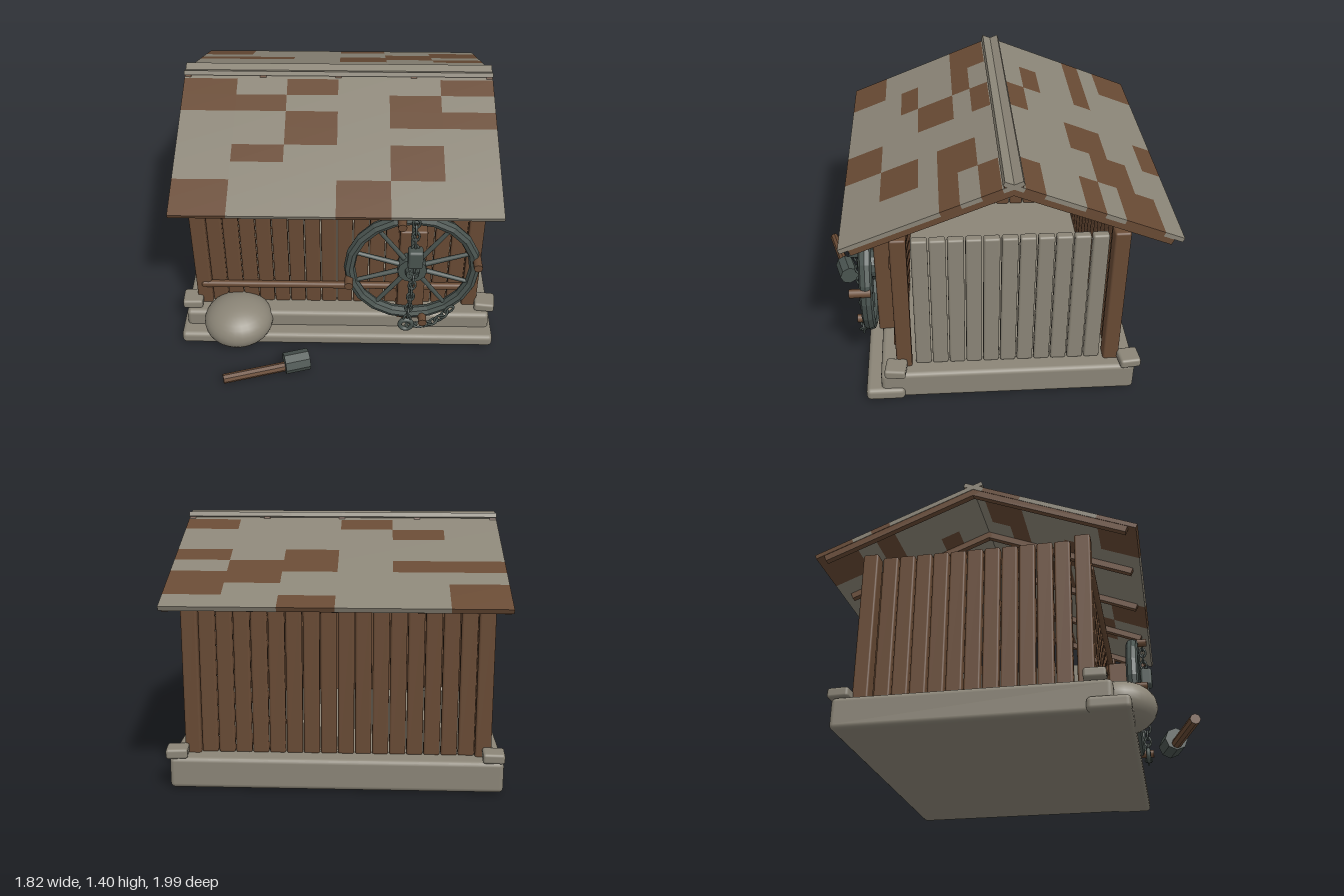
import * as THREE from 'three';
import { RoundedBoxGeometry } from 'three/addons/geometries/RoundedBoxGeometry.js';

const mat = (name, color) => {
  const m = new THREE.MeshStandardMaterial({ color });
  m.name = name;
  return m;
};

export function createModel() {
  const model = new THREE.Group();
  model.name = 'shed';
  const stone = mat('stone grey', 0x8b8577);
  const wood = mat('brown wood', 0x684a34);
  const iron = mat('dark iron', 0x49534f);

  const add = (parent, name, geo, material, x = 0, y = 0, z = 0) => {
    const m = new THREE.Mesh(geo, material);
    m.name = name;
    m.position.set(x, y, z);
    parent.add(m);
    return m;
  };
  const group = (name, parent = model) => {
    const g = new THREE.Group();
    g.name = name;
    parent.add(g);
    return g;
  };
  // Rounded block given by its minimum and maximum on each axis
  const block = (parent, name, material, x0, x1, y0, y1, z0, z1, r = 0.012) =>
    add(parent, name, new RoundedBoxGeometry(x1 - x0, y1 - y0, z1 - z0, 2, r), material,
      (x0 + x1) / 2, (y0 + y1) / 2, (z0 + z1) / 2);
  // Faceted copy of a geometry
  const flat = (geo) => {
    const g = geo.toNonIndexed();
    g.computeVertexNormals();
    return g;
  };

  // Foundation, front step and corner stones
  const base = group('base');
  block(base, 'foundation', stone, -0.89, 0.87, 0.01, 0.18, -0.825, 0.585, 0.025);
  block(base, 'frontStep', stone, -0.915, 0.89, 0.01, 0.085, 0.455, 0.67, 0.025);
  for (const [x, z, turn] of [[-0.855, 0.5, 0.03], [0.845, 0.5, -0.12], [-0.835, -0.79, -0.05], [0.83, -0.79, 0.1]]) {
    const s = add(base, 'cornerStone', new RoundedBoxGeometry(0.115, 0.055, 0.115, 2, 0.015), stone, x, 0.207, z);
    s.rotation.y = turn;
  }

  // Corner posts and plank walls
  const walls = group('walls');
  for (const x of [-0.787, 0.757]) {
    for (const z of [0.455, -0.697]) {
      block(walls, 'cornerPost', wood, x - 0.043, x + 0.043, 0.17, 1.04, z - 0.043, z + 0.043);
    }
  }
  const pitchX = 1.458 / 16;
  for (let i = 0; i < 16; i++) {
    const x = -0.744 + pitchX * (i + 0.5);
    for (const z of [0.455, -0.697]) {
      const top = 1.015 + 0.008 * Math.sin(i * 2.3 + z);
      block(walls, z > 0 ? 'frontPlank' : 'backPlank', wood, x - 0.043, x + 0.043, 0.175, top, z - 0.025, z + 0.025);
    }
  }
  const pitchZ = 1.03 / 11;
  for (let i = 0; i < 11; i++) {
    const z = 0.394 - pitchZ * (i + 0.5);
    block(walls, 'rightPlank', stone, 0.735, 0.785, 0.18, 1.02, z - 0.043, z + 0.043);
    block(walls, 'leftPlank', wood, -0.815, -0.765, 0.18, 1.02, z - 0.043, z + 0.043);
  }
  for (const y of [0.32, 0.847]) block(walls, 'frontRail', wood, -0.8, 0.77, y - 0.02, y + 0.02, 0.47, 0.508, 0.015);
  block(walls, 'wheelMount', wood, 0.33, 0.48, 0.17, 0.82, 0.48, 0.605);

  // Roof: two slopes of patched boards that cross at the ridge
  const roof = group('roof');
  const tilt = 0.385;
  const cols = [-0.88, -0.58, -0.3, -0.015, 0.27, 0.555, 0.85];
  // Columns that are wooden in each row, from the ridge to the eave
  const frontPatches = [[], [0, 2, 5], [0, 1, 4], [2, 4, 5], [2], [1, 4], [4], [0, 3], [0, 3]];
  const backPatches = [[], [2, 5], [1], [], [3, 5], [0, 1, 3, 4], [4, 5], [0, 5], [0, 3]];
  const rowLen = 0.992 / 9;
  for (const [s, patches] of [[1, frontPatches], [-1, backPatches]]) {
    const slope = group(s > 0 ? 'frontSlope' : 'backSlope', roof);
    slope.position.set(0, 1.375, -0.125);
    slope.rotation.x = s * tilt;
    patches.forEach((wooden, r) => {
      const d = -0.054 + rowLen * (r + 0.5);
      for (let c = 0; c < 6; c++) {
        const w = cols[c + 1] - cols[c];
        add(slope, 'roofBoard', new THREE.BoxGeometry(w, 0.025, rowLen),
          wooden.includes(c) ? wood : stone, cols[c] + w / 2, 0, s * d);
      }
    });
    // Rafters under the boards
    for (let i = 0; i < 5; i++) {
      add(slope, 'rafter', new THREE.BoxGeometry(0.034, 0.035, 0.935), wood, -0.86 + i * 0.4225, -0.03, s * 0.425);
    }
  }

  // Spoked wheel
  const wheel = group('wheel');
  wheel.position.set(0.4, 0.6, 0.638);
  const rim = add(wheel, 'wheelRim', flat(new THREE.TorusGeometry(0.343, 0.031, 8, 20)), iron);
  rim.scale.z = 1.15;
  for (let i = 0; i < 10; i++) {
    const a = Math.PI / 2 + (i * Math.PI) / 5;
    const spoke = add(wheel, 'spoke', new THREE.CylinderGeometry(0.012, 0.015, 0.27, 8), iron,
      Math.cos(a) * 0.195, Math.sin(a) * 0.195, 0);
    spoke.rotation.z = a - Math.PI / 2;
  }
  const hub = add(wheel, 'hub', flat(new THREE.CylinderGeometry(0.08, 0.08, 0.07, 12)), iron);
  hub.rotation.x = Math.PI / 2;
  const cap = add(wheel, 'hubCap', flat(new THREE.CylinderGeometry(0.035, 0.045, 0.05, 10)), iron, 0, 0, 0.04);
  cap.rotation.x = Math.PI / 2;
  for (const [x, y] of [[-0.068, 0.345], [0.348, 0.07], [-0.345, -0.07], [0.07, -0.345]]) {
    const peg = add(wheel, 'woodenPeg', new THREE.CylinderGeometry(0.024, 0.024, 0.115, 10), wood, x, y, 0.03);
    peg.rotation.x = Math.PI / 2;
  }

  // Chain with alternating links, a weight and an end ring
  const chain = group('chain');
  const link = new THREE.TorusGeometry(0.019, 0.0065, 6, 12);
  link.scale(1, 1.5, 1);
  const up = new THREE.Vector3(0, 1, 0);
  const links = (points, count) => {
    const path = new THREE.CatmullRomCurve3(points.map((p) => new THREE.Vector3(...p)));
    for (let i = 0; i < count; i++) {
      const t = i / (count - 1);
      const p = path.getPointAt(t);
      const m = add(chain, 'chainLink', link, iron, p.x, p.y, p.z);
      m.quaternion.setFromUnitVectors(up, path.getTangentAt(t).negate());
      if (i % 2) m.rotateY(Math.PI / 2);
    }
  };
  links([[0.405, 0.955, 0.695], [0.405, 0.6, 0.7], [0.385, 0.26, 0.695]], 17);
  links([[0.41, 0.21, 0.695], [0.5, 0.215, 0.69], [0.57, 0.26, 0.685], [0.62, 0.32, 0.68]], 7);
  block(chain, 'chainWeight', iron, 0.368, 0.45, 0.675, 0.79, 0.675, 0.745, 0.015);
  add(chain, 'endRing', new THREE.TorusGeometry(0.035, 0.013, 8, 16), iron, 0.38, 0.215, 0.695);

  // Boulder beside the step
  const boulder = add(model, 'boulder', new THREE.SphereGeometry(1, 28, 18), stone, -0.585, 0.137, 0.59);
  boulder.scale.set(0.198, 0.13, 0.195);

  // Mallet lying on the ground
  const mallet = group('mallet');
  mallet.position.set(-0.64, 0, 0.962);
  mallet.rotation.y = 0.28;
  const handle = add(mallet, 'malletHandle', flat(new THREE.CylinderGeometry(0.027, 0.027, 0.38, 8)), wood, 0.19, 0.038, 0);
  handle.rotation.z = Math.PI / 2;
  const head = add(mallet, 'malletHead', flat(new THREE.CylinderGeometry(0.06, 0.06, 0.14, 8)), iron, 0.42, 0.063, 0);
  head.rotation.z = Math.PI / 2;

  return model;
}
